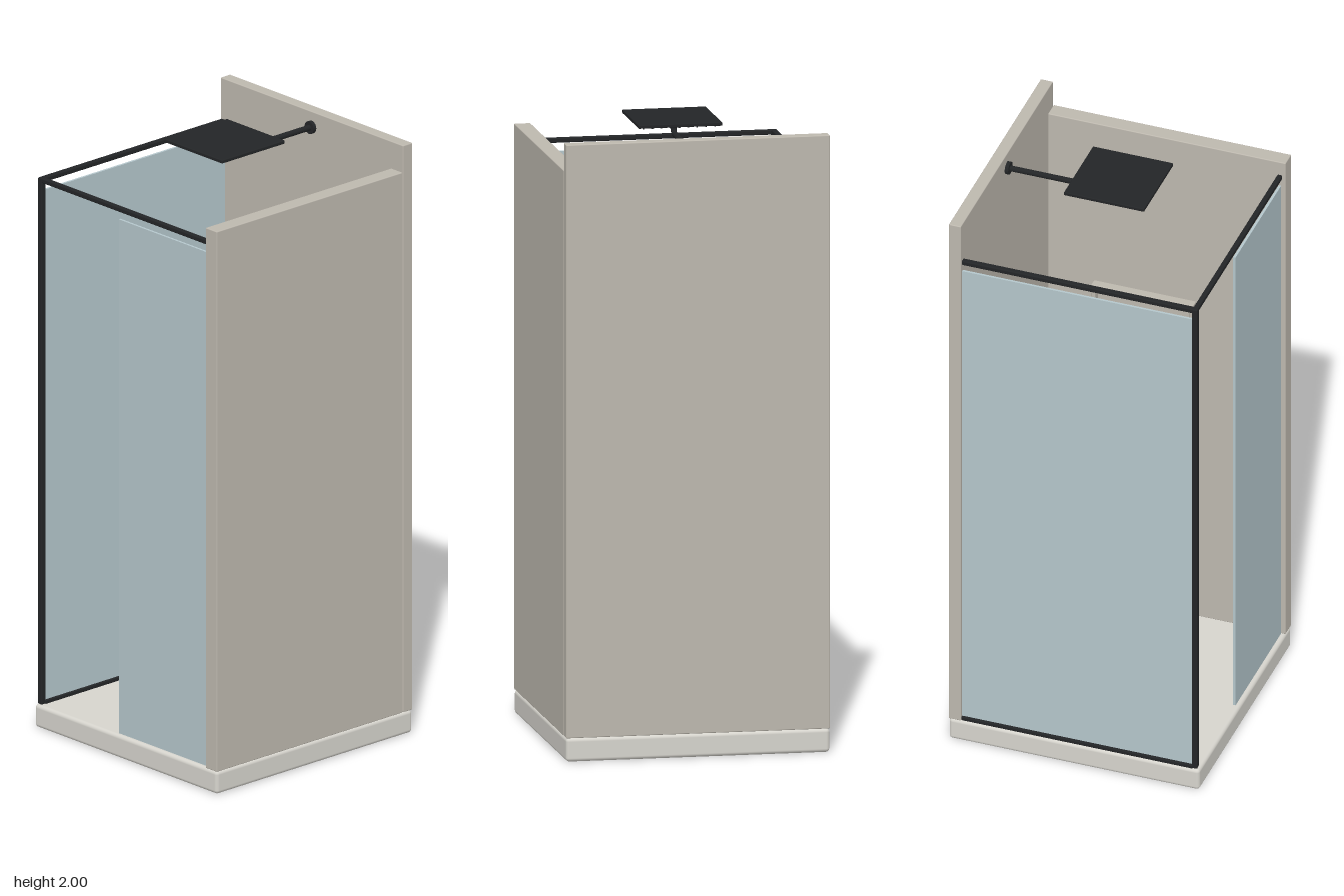
import * as THREE from 'three';
import { RoundedBoxGeometry } from 'three/addons/geometries/RoundedBoxGeometry.js';

const mat = (color) => new THREE.MeshStandardMaterial({ color });
const wallMat = mat(0xbdb8ae), trayMat = mat(0xd6d4cd), glassMat = mat(0xb4c6cb);
const blackMat = mat(0x232527), whiteMat = mat(0xe4e4e0), greenMat = mat(0x9cb08e);

export function createModel() {
  const model = new THREE.Group();
  model.name = 'showerCubicle';

  const add = (name, geometry, material, x = 0, y = 0, z = 0, parent = model) => {
    const mesh = new THREE.Mesh(geometry, material);
    mesh.name = name;
    mesh.position.set(x, y, z);
    parent.add(mesh);
    return mesh;
  };
  // Box given by its lower and upper limits, with optional rounded edges
  const box = (name, material, [x0, x1], [y0, y1], [z0, z1], r = 0, parent = model) => {
    const size = [x1 - x0, y1 - y0, z1 - z0];
    const g = r ? new RoundedBoxGeometry(...size, 3, r) : new THREE.BoxGeometry(...size);
    return add(name, g, material, (x0 + x1) / 2, (y0 + y1) / 2, (z0 + z1) / 2, parent);
  };
  const group = (name) => {
    const g = new THREE.Group();
    g.name = name;
    model.add(g);
    return g;
  };

  // Tray and the two solid walls
  box('tray', trayMat, [-0.428, 0.428], [0, 0.077], [-0.424, 0.424], 0.012);
  box('backWall', wallMat, [-0.428, 0.428], [0.077, 2], [-0.424, -0.383], 0.003);
  box('sideWall', wallMat, [0.375, 0.428], [0.077, 1.91], [-0.381, 0.424], 0.003);

  // Glass: full fixed panel on one side, half panel beside the open entrance
  box('sideGlass', glassMat, [-0.416, -0.408], [0.08, 1.82], [-0.383, 0.405]);
  box('frontGlass', glassMat, [-0.048, 0.375], [0.077, 1.82], [0.401, 0.409]);

  // Black frame
  box('cornerPost', blackMat, [-0.422, -0.403], [0.077, 1.863], [0.396, 0.415], 0.004);
  box('sideTopRail', blackMat, [-0.422, -0.403], [1.847, 1.863], [-0.383, 0.405], 0.004);
  box('frontTopRail', blackMat, [-0.412, 0.375], [1.847, 1.863], [0.397, 0.414], 0.004);
  box('sideBottomChannel', blackMat, [-0.425, -0.4], [0.077, 0.09], [-0.383, 0.4], 0.003);

  // Overhead shower: wall flange, bent arm, square head with nozzles
  const shower = group('overheadShower');
  const disc = (r, h, seg = 32) => new THREE.CylinderGeometry(r, r, h, seg);
  add('armFlange', disc(0.021, 0.012).rotateX(Math.PI / 2), blackMat, 0, 1.948, -0.377, shower);
  const arm = new THREE.CurvePath();
  const p = (y, z) => new THREE.Vector3(0, y, z);
  arm.add(new THREE.LineCurve3(p(1.948, -0.383), p(1.948, -0.055)));
  arm.add(new THREE.QuadraticBezierCurve3(p(1.948, -0.055), p(1.948, -0.03), p(1.968, -0.03)));
  arm.add(new THREE.LineCurve3(p(1.968, -0.03), p(1.99, -0.03)));
  add('showerArm', new THREE.TubeGeometry(arm, 48, 0.0095, 14), blackMat, 0, 0, 0, shower);
  box('showerHead', blackMat, [-0.136, 0.136], [1.988, 2], [-0.141, 0.131], 0.003, shower);
  for (let i = 0; i < 9; i++) {
    for (let j = 0; j < 9; j++) {
      add('nozzle', disc(0.003, 0.006, 8), blackMat,
        (i - 4) * 0.029, 1.986, -0.005 + (j - 4) * 0.029, shower);
    }
  }

  // Mixer valve on the back wall
  const mixer = group('mixerValve');
  box('mixerPlate', blackMat, [-0.302, -0.252], [0.93, 1.095], [-0.383, -0.372], 0.004, mixer);
  add('mixerSpindle', disc(0.012, 0.035).rotateX(Math.PI / 2), blackMat, -0.277, 1.035, -0.355, mixer);
  box('mixerLever', blackMat, [-0.283, -0.271], [1.002, 1.062], [-0.345, -0.333], 0.004, mixer);

  // Slotted floor drain
  const drain = group('floorDrain');
  box('drainPlate', blackMat, [-0.183, -0.095], [0.074, 0.079], [0.088, 0.176], 0.002, drain);
  for (let i = 0; i < 6; i++) {
    const x = -0.174 + i * 0.014;
    box('drainBar', blackMat, [x - 0.003, x + 0.003], [0.078, 0.081], [0.096, 0.168], 0, drain);
  }

  // Framed niche on the side wall
  const niche = group('wallNiche');
  const depth = [0.348, 0.376];
  box('nicheBottom', wallMat, depth, [1.0, 1.014], [-0.225, 0.121], 0.002, niche);
  box('nicheTop', wallMat, depth, [1.286, 1.3], [-0.225, 0.121], 0.002, niche);
  box('nicheEnd', wallMat, depth, [1.0, 1.3], [-0.225, -0.211], 0.002, niche);
  box('nicheEnd', wallMat, depth, [1.0, 1.3], [0.107, 0.121], 0.002, niche);

  // Two bottles standing in the niche
  const profile = [[0, 0], [0.019, 0], [0.02, 0.004], [0.02, 0.115], [0.016, 0.126], [0.007, 0.132], [0, 0.132]]
    .map(([r, y]) => new THREE.Vector2(r, y));
  [[-0.116, whiteMat], [-0.043, greenMat]].forEach(([z, material]) => {
    add('bottle', new THREE.LatheGeometry(profile, 28), material, 0.353, 1.014, z, niche);
    add('bottleCap', disc(0.007, 0.024, 20), blackMat, 0.353, 1.156, z, niche);
  });

  return model;
}
